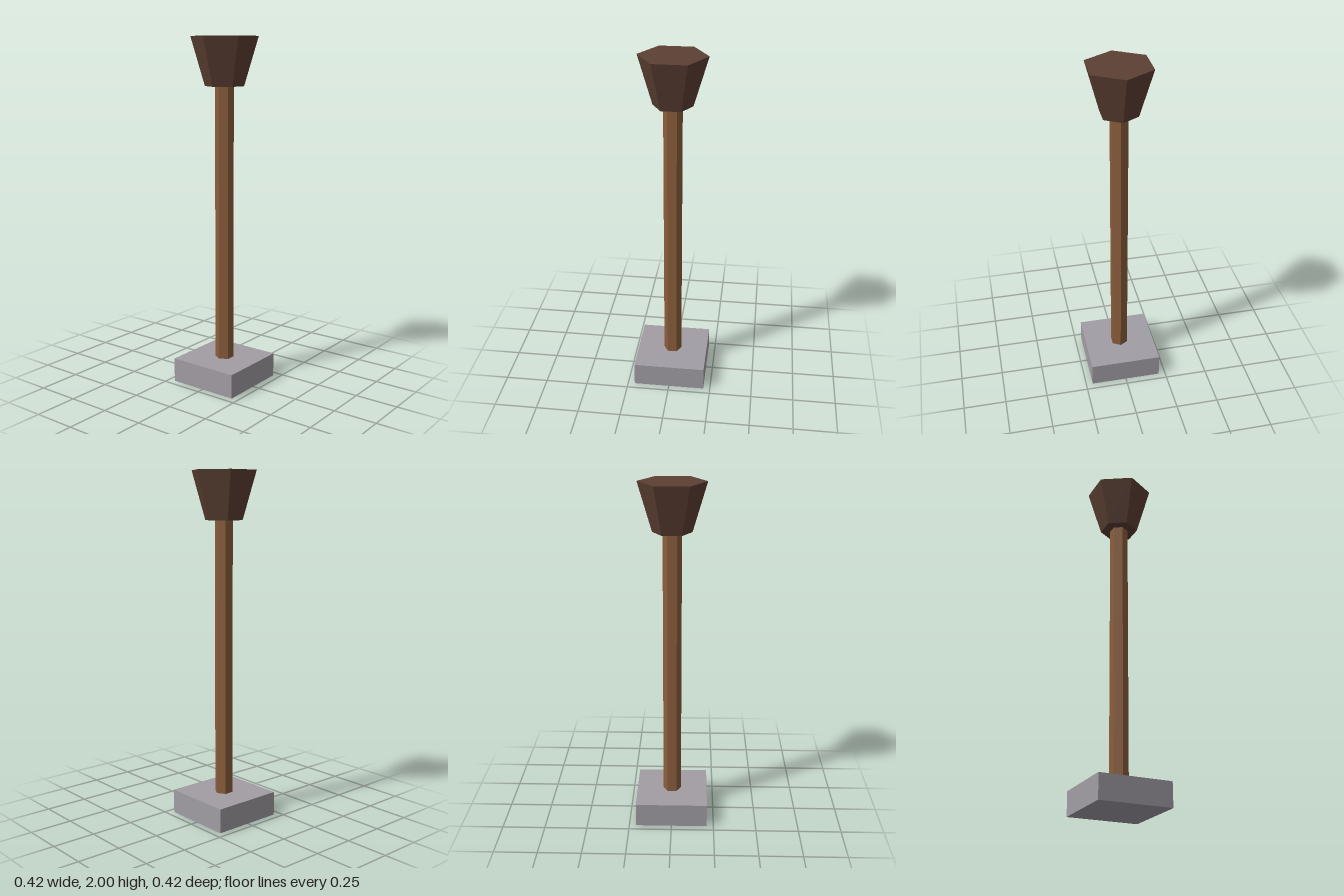
import * as THREE from 'three';

function material(name, color) {
  const m = new THREE.MeshStandardMaterial({ color });
  m.name = name;
  return m;
}

// Hexagonal prism or frustum between two heights, with corners on the x axis
function hexPart(name, topRadius, bottomRadius, y0, y1, mat) {
  const geometry = new THREE.CylinderGeometry(
    topRadius, bottomRadius, y1 - y0, 6, 1, false, Math.PI / 6
  ).toNonIndexed();
  geometry.computeVertexNormals(); // faceted sides
  const mesh = new THREE.Mesh(geometry, mat);
  mesh.name = name;
  mesh.position.y = (y0 + y1) / 2;
  return mesh;
}

export function createModel() {
  const stone = material('grey stone', 0xa19da4);
  const wood = material('brown wood', 0x8b5e3c);
  const darkWood = material('dark brown wood', 0x5c4033);

  const model = new THREE.Group();
  model.name = 'post';

  // Square footing
  const base = new THREE.Mesh(new THREE.BoxGeometry(0.42, 0.14, 0.42), stone);
  base.name = 'base';
  base.position.y = 0.07;

  model.add(
    base,
    hexPart('shaft', 0.053, 0.053, 0.14, 1.73, wood),
    // Head flares out towards a flat top
    hexPart('head', 0.19, 0.11, 1.727, 2, darkWood)
  );
  return model;
}
